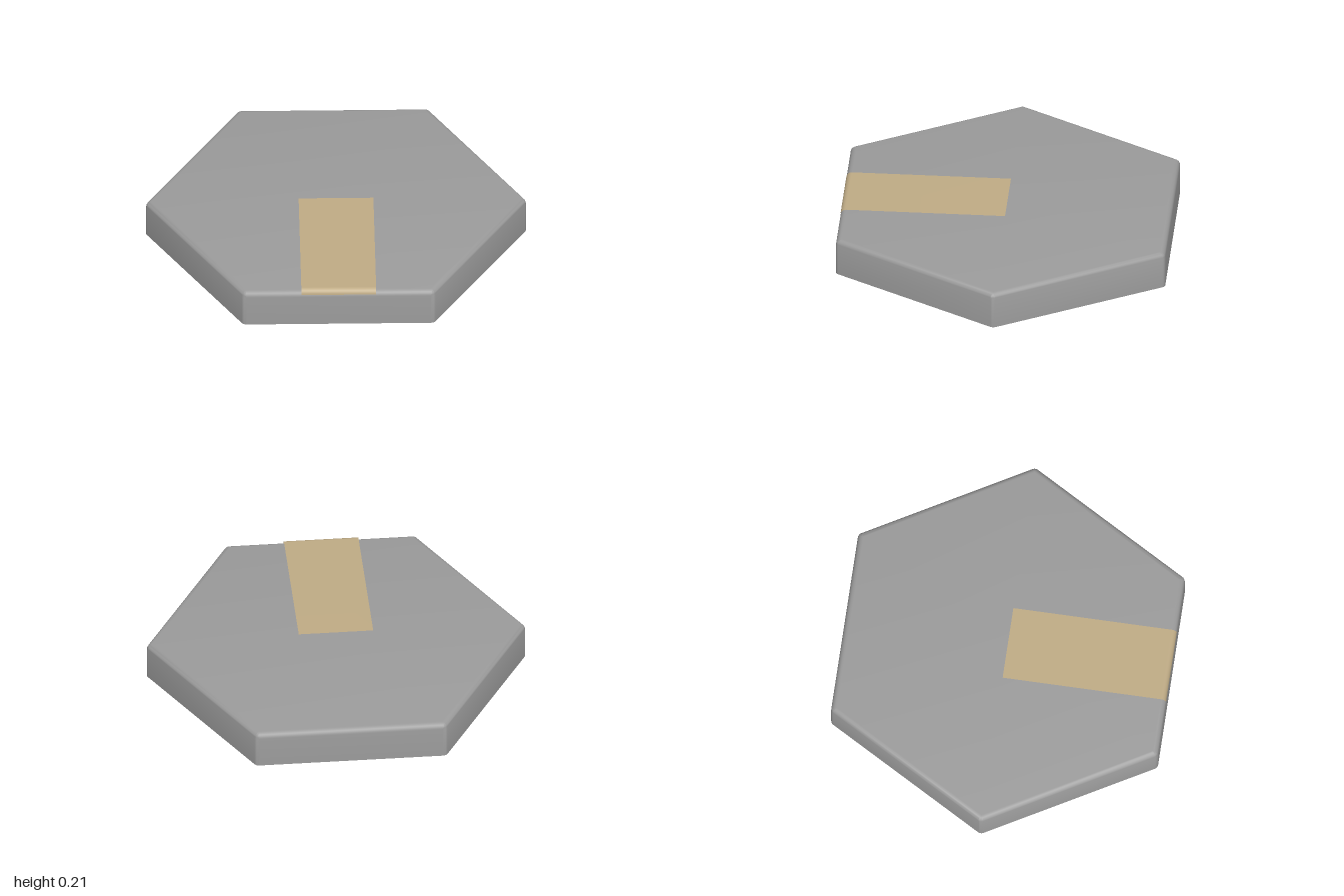
import * as THREE from 'three';
import { toCreasedNormals } from 'three/addons/utils/BufferGeometryUtils.js';

const HEIGHT = 0.2, ROUND = 0.03, APOTHEM = 0.87;
const CORE = (APOTHEM - ROUND) / Math.cos(Math.PI / 6); // centres of the corner arcs
const STEPS = 6;

// Quarter-round edge: outward offset and height, from the wall up to the top
const edge = Array.from({ length: STEPS + 1 }, (_, i) => {
  const a = (i / STEPS) * Math.PI / 2;
  return [ROUND * Math.cos(a), HEIGHT - ROUND + ROUND * Math.sin(a)];
});

function makeGeometry(positions, index) {
  const g = new THREE.BufferGeometry();
  g.setAttribute('position', new THREE.Float32BufferAttribute(positions, 3));
  g.setIndex(index);
  return g;
}

// Hexagonal slab lofted through rounded-hexagon rings
function slabGeometry() {
  const positions = [], index = [];
  const rings = [[ROUND, 0], ...edge];
  const n = 6 * (STEPS + 1);
  for (const [offset, y] of rings) {
    for (let c = 0; c < 6; c++) {
      const mid = c * Math.PI / 3;
      for (let s = 0; s <= STEPS; s++) {
        const a = mid + (s / STEPS - 0.5) * Math.PI / 3;
        positions.push(CORE * Math.cos(mid) + offset * Math.cos(a), y,
          -CORE * Math.sin(mid) - offset * Math.sin(a));
      }
    }
  }
  const bottom = rings.length * n, top = bottom + 1, last = (rings.length - 1) * n;
  positions.push(0, 0, 0, 0, HEIGHT, 0);
  for (let j = 0; j < n; j++) {
    const k = (j + 1) % n;
    for (let r = 0; r < last; r += n) {
      index.push(r + j, r + k, r + n + k, r + j, r + n + k, r + n + j);
    }
    index.push(bottom, k, j, top, last + j, last + k);
  }
  return toCreasedNormals(makeGeometry(positions, index), 0.7);
}

// Thin strip from the centre to the front, folding over the rounded edge
function stripGeometry(halfWidth, lift) {
  const path = [[0, HEIGHT], ...edge.slice().reverse().map(([o, y]) => [APOTHEM - ROUND + o, y])];
  const positions = [], index = [];
  path.forEach(([z, y], i) => {
    positions.push(-halfWidth, y + lift, z, halfWidth, y + lift, z);
    if (i) {
      const a = 2 * i - 2;
      index.push(a, a + 2, a + 3, a, a + 3, a + 1);
    }
  });
  const g = makeGeometry(positions, index);
  g.computeVertexNormals();
  return g;
}

export function createModel() {
  const group = new THREE.Group();
  group.name = 'hexagonTile';

  const slab = new THREE.Mesh(slabGeometry(), new THREE.MeshStandardMaterial({ color: 0x9b9b9b }));
  slab.name = 'slab';

  const strip = new THREE.Mesh(stripGeometry(0.197, 0.013),
    new THREE.MeshStandardMaterial({ color: 0xbfab85, side: THREE.DoubleSide }));
  strip.name = 'pathStrip';

  group.add(slab, strip);
  return group;
}
